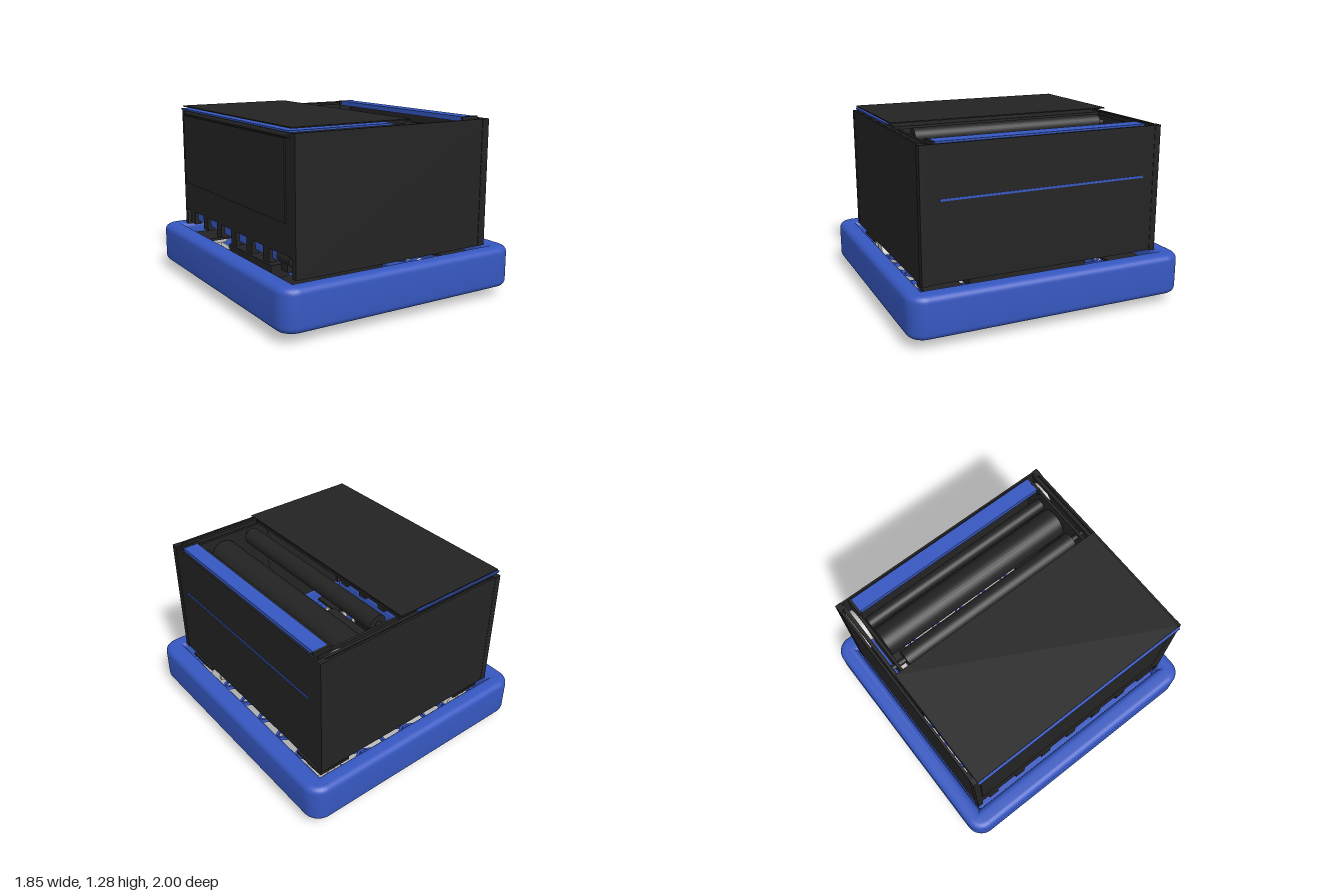
import * as THREE from 'three';
import { toCreasedNormals } from 'three/addons/utils/BufferGeometryUtils.js';

const mat = (name, color) => {
  const m = new THREE.MeshStandardMaterial({ color });
  m.name = name;
  return m;
};

export function createModel() {
  const blue = mat('blue', 0x3657c0);
  const black = mat('black', 0x232323);
  const grey = mat('light grey', 0xc4c2be);
  const slotGrey = mat('slot grey', 0x55524c);
  const root = new THREE.Group();
  root.name = 'wheeledRobot';

  const add = (name, geo, material, x, y, z, parent = root) => {
    const m = new THREE.Mesh(geo, material);
    m.name = name;
    m.position.set(x, y, z);
    parent.add(m);
    return m;
  };
  // box given by its limits
  const box = (name, material, x0, x1, y0, y1, z0, z1, parent = root) =>
    add(name, new THREE.BoxGeometry(x1 - x0, y1 - y0, z1 - z0), material,
      (x0 + x1) / 2, (y0 + y1) / 2, (z0 + z1) / 2, parent);
  // cylinder lying along z
  const roller = (name, material, x, y, z, r, length, parent = root) => {
    const g = new THREE.CylinderGeometry(r, r, length, 32).rotateX(Math.PI / 2);
    return add(name, g, material, x, y, z, parent);
  };
  // flat bar between two points in the ground plane
  const strut = (name, material, xa, za, xb, zb, y, width, parent) => {
    const g = new THREE.BoxGeometry(Math.hypot(xb - xa, zb - za), 0.03, width);
    const m = add(name, g, material, (xa + xb) / 2, y, (za + zb) / 2, parent);
    m.rotation.y = -Math.atan2(zb - za, xb - xa);
  };

  // Padded bumper ring
  const w = 0.925, d = 1, r = 0.12, h = Math.PI / 2;
  const ring = new THREE.Shape();
  ring.absarc(w - r, d - r, r, 0, h);
  ring.absarc(-w + r, d - r, r, h, 2 * h);
  ring.absarc(-w + r, -d + r, r, 2 * h, 3 * h);
  ring.absarc(w - r, -d + r, r, 3 * h, 4 * h);
  ring.closePath();
  const iw = 0.78, id = 0.87;
  ring.holes.push(new THREE.Path([[-iw, -id], [-iw, id], [iw, id], [iw, -id]]
    .map(([x, y]) => new THREE.Vector2(x, y))));
  const bevel = 0.045;
  const bumper = new THREE.ExtrudeGeometry(ring, {
    depth: 0.29 - 2 * bevel, bevelSize: bevel, bevelThickness: bevel,
    bevelOffset: -bevel, bevelSegments: 6, curveSegments: 10,
  }).rotateX(-Math.PI / 2);
  add('bumper', toCreasedNormals(bumper, 0.6), blue, 0, 0.065 + bevel, 0);

  // Lattice belly pan
  const pan = new THREE.Group();
  pan.name = 'bellyPan';
  root.add(pan);
  const stepX = 0.2, stepZ = 0.235;
  for (let i = 0; i < 7; i++) {
    const x = -0.7 + i * stepX;
    strut('panRib', blue, x, -0.83, x, 0.83, 0.13, 0.016, pan);
    for (let j = -3; j < 4; j++) {
      const z = j * stepZ, side = i % 2 ? 1 : -1;
      const xa = x + (side > 0 ? 0 : stepX), xb = x + (side > 0 ? stepX : 0);
      strut('panDiagonal', blue, xa, z, xb, z + stepZ / 2, 0.13, 0.016, pan);
      strut('panDiagonal', blue, xa, z, xb, z - stepZ / 2, 0.13, 0.016, pan);
    }
  }
  for (const s of [-1, 1]) {
    box('panSideRail', blue, s * 0.745 - 0.02, s * 0.745 + 0.02, 0.1, 0.2, -0.85, 0.85, pan);
    box('panEndRail', blue, -0.76, 0.76, 0.1, 0.2, s * 0.84 - 0.02, s * 0.84 + 0.02, pan);
  }

  // Electronics trays above the pan, with slotted undersides
  box('electronicsTray', black, -0.5, 0.08, 0.22, 0.3, -0.6, 0.6);
  box('battery', black, 0.34, 0.52, 0.2, 0.36, -0.45, 0.45);
  box('controlBox', black, -0.66, -0.52, 0.2, 0.3, -0.3, 0.35);
  for (let i = 0; i < 6; i++) {
    for (let j = 0; j < 10; j++) {
      const x = -0.46 + i * 0.09, z = -0.5 + j * 0.105;
      box('traySlot', slotGrey, x, x + 0.055, 0.216, 0.22, z, z + 0.05);
    }
  }

  // Four wheel modules
  for (const sx of [-1, 1]) {
    for (const sz of [-1, 1]) {
      const module = new THREE.Group();
      module.name = 'wheelModule';
      module.position.set(sx * 0.615, 0, sz * 0.685);
      root.add(module);
      roller('wheel', grey, 0, 0.115, 0, 0.115, 0.13, module);
      roller('axle', grey, 0, 0.115, 0, 0.025, 0.19, module);
      for (const s of [-1, 1]) {
        box('fork', grey, -0.025, 0.025, 0.1, 0.25, s * 0.085 - 0.01, s * 0.085 + 0.01, module);
      }
      add('turntable', new THREE.CylinderGeometry(0.11, 0.11, 0.03, 28), grey, 0, 0.25, 0, module);
      box('modulePlate', black, -0.12, 0.12, 0.265, 0.285, -0.13, 0.13, module);
    }
  }

  // Body walls and corner posts
  for (const s of [-1, 1]) {
    box('sideWall', black, -0.76, 0.75, 0.355, 1.25, s * 0.855 - 0.008, s * 0.855 + 0.008);
    box('innerSidePlate', black, 0.02, 0.72, 0.4, 1.235, s * 0.775 - 0.01, s * 0.775 + 0.01);
    box('cornerPost', black, 0.71, 0.765, 0.355, 1.25, s * 0.845 - 0.022, s * 0.845 + 0.022);
    box('rearPost', black, -0.765, -0.72, 0.355, 1.25, s * 0.845 - 0.02, s * 0.845 + 0.02);
    box('topRail', black, -0.76, 0.74, 1.215, 1.245, s * 0.825 - 0.012, s * 0.825 + 0.012);
  }
  box('stripedWall', black, 0.748, 0.762, 0.36, 1.25, -0.83, 0.83);
  box('wallStripe', blue, 0.76, 0.766, 0.893, 0.908, -0.74, 0.74);

  // Open-bottomed end opposite the stripe
  box('endPanel', black, -0.765, -0.75, 0.48, 1.25, -0.84, 0.84);
  box('endOuterPanel', black, -0.775, -0.765, 0.69, 1.21, -0.82, 0.75);
  box('endCrossbar', blue, -0.74, -0.72, 0.41, 0.47, -0.82, 0.82);
  for (let i = 0; i < 7; i++) {
    const z = -0.72 + i * 0.24;
    box('endBracket', black, -0.765, -0.71, 0.38, 0.49, z - 0.04, z + 0.04);
  }
  roller('endRoller', black, -0.735, 0.46, 0.72, 0.04, 0.16);
  roller('lidHinge', black, -0.765, 1.23, 0, 0.015, 1.6);

  // Layered sliding lid
  box('lidUnderplate', blue, -0.785, -0.03, 1.252, 1.264, -0.835, 0.835);
  box('lid', black, -0.77, 0.11, 1.275, 1.283, -0.835, 0.835);
  box('lidSupport', black, -0.74, 0.09, 1.23, 1.25, -0.8, 0.8);

  // Intake rollers in the opening
  roller('frontRoller', black, 0.19, 1.19, 0, 0.063, 1.42);
  roller('frontRollerShaft', black, 0.19, 1.19, 0, 0.02, 1.62);
  roller('largeRoller', black, 0.415, 1.1, 0, 0.108, 1.5);
  roller('rearRoller', black, 0.57, 1.14, 0, 0.045, 1.5);
  box('rollerBacking', black, 0.53, 0.62, 0.8, 0.83, -0.77, 0.77);

  // Blue top bar and its end caps
  box('topBar', blue, 0.625, 0.735, 1.225, 1.26, -0.755, 0.755);
  for (const s of [-1, 1]) {
    box('topBarCap', black, 0.61, 0.745, 1.2, 1.262, s * 0.765 - 0.01, s * 0.765 + 0.01);
  }

  // Drive pulleys beside the rollers
  roller('drivePulley', grey, 0.595, 1.08, -0.81, 0.145, 0.06);
  roller('idlerPulley', grey, 0.64, 1.1, 0.815, 0.1, 0.025);
  box('driveBelt', blue, 0.11, 0.44, 1.17, 1.2, -0.81, -0.795);

  return root;
}
